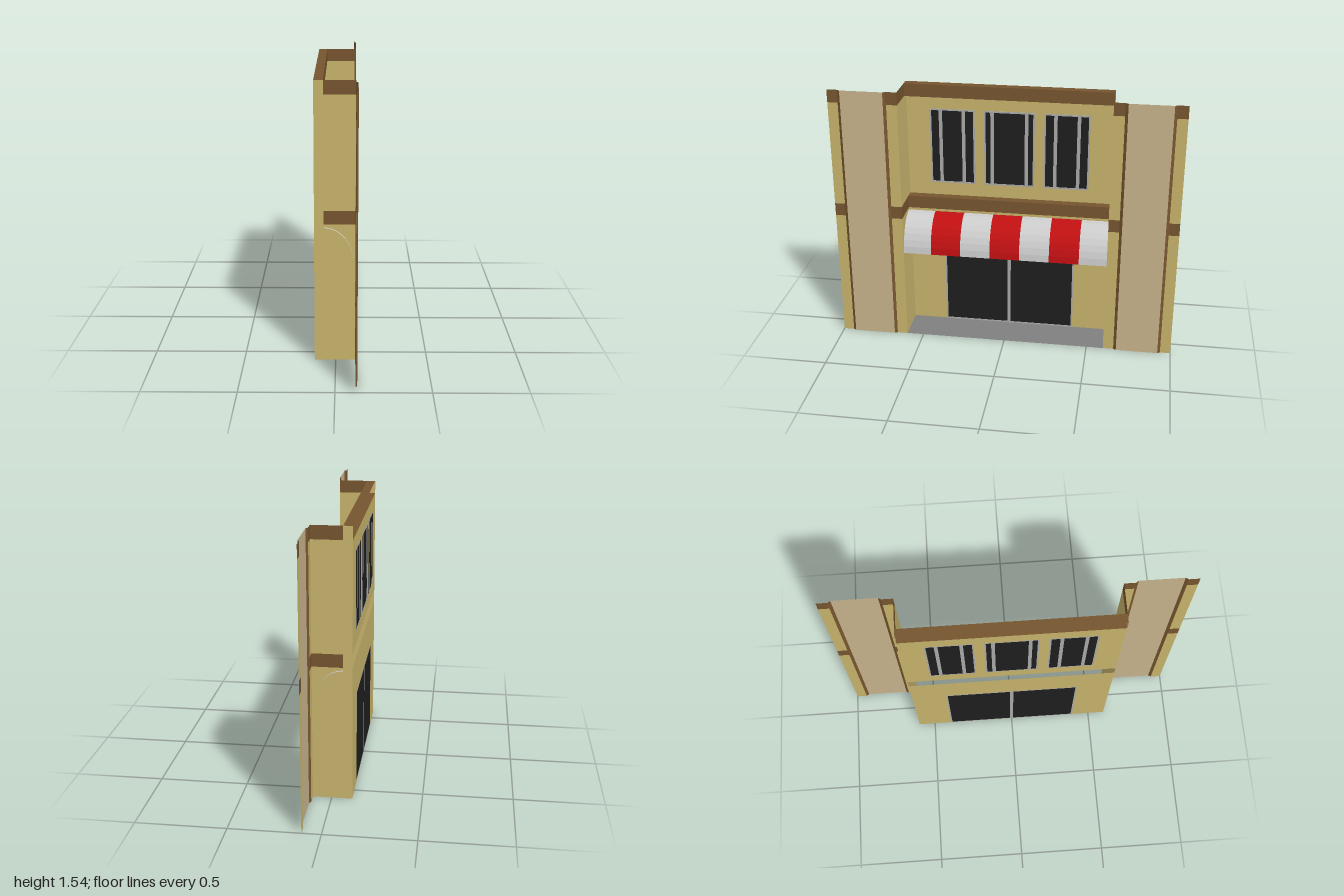
import * as THREE from 'three';

const mat = (color, flatShading = false) =>
  new THREE.MeshStandardMaterial({ color, flatShading, side: THREE.DoubleSide });

const BACK = -0.115, BAND = -0.065, FRONT = 0.105, PANEL = 0.115; // depths along x
const HALF = 0.6, TOP = 1.545;
const BANDS = [[0.775, 0.85], [1.47, TOP]];
const WALLS = [[0, 0.775], [0.85, 1.47]];

export function createModel() {
  const root = new THREE.Group();
  const plaster = mat(0xc8b46c), timber = mat(0x76552f), panel = mat(0xc8b48c);
  const glass = mat(0x1e1e1e), frame = mat(0xaaaaaa), stone = mat(0x808080);
  const white = mat(0xcccccc, true), red = mat(0xc01012, true);

  const add = (name, geo, material, parent = root) => {
    const mesh = new THREE.Mesh(geo, material);
    mesh.name = name;
    parent.add(mesh);
    return mesh;
  };
  // Upright sheet between two plan points (x, z)
  const sheet = (name, [xa, za], [xb, zb], [y0, y1], material) => {
    const g = new THREE.BufferGeometry();
    g.setAttribute('position', new THREE.Float32BufferAttribute(
      [xa, y0, za, xb, y0, zb, xb, y1, zb, xa, y1, za], 3));
    g.setIndex([0, 1, 2, 0, 2, 3]);
    g.computeVertexNormals();
    return add(name, g, material);
  };
  // Level sheet
  const level = (name, x0, x1, y, material) => {
    const g = new THREE.PlaneGeometry(x1 - x0, HALF * 2).rotateX(-Math.PI / 2);
    return add(name, g.translate((x0 + x1) / 2, y, 0), material);
  };

  // Openings: z range, y range, and mullion positions
  const openings = [
    { name: 'door', z: [-0.395, 0.395], y: [0, 0.555], bars: [0] },
    { name: 'leftWindow', z: [0.202, 0.465], y: [0.93, 1.387], bars: [0.268, 0.402] },
    { name: 'middleWindow', z: [-0.147, 0.147], y: [0.93, 1.387], bars: [-0.1, 0.1] },
    { name: 'rightWindow', z: [-0.465, -0.202], y: [0.93, 1.387], bars: [-0.402, -0.268] },
  ];

  // Recessed wall, cut around the openings; shape x maps to -z
  WALLS.forEach(([y0, y1], i) => {
    const s = new THREE.Shape();
    s.moveTo(-HALF, y0);
    s.lineTo(HALF, y0).lineTo(HALF, y1).lineTo(-HALF, y1).closePath();
    for (const { z, y } of openings) {
      if (y[0] < y0 || y[1] > y1) continue;
      const h = new THREE.Path(), b = Math.max(y[0], y0 + 0.002);
      h.moveTo(-z[0], b);
      h.lineTo(-z[0], y[1]).lineTo(-z[1], y[1]).lineTo(-z[1], b).closePath();
      s.holes.push(h);
    }
    const g = new THREE.ShapeGeometry(s).rotateY(Math.PI / 2).translate(BACK, 0, 0);
    add(i ? 'upperWall' : 'lowerWall', g, plaster);
  });

  // Glazing with thin frames
  for (const { name, z, y, bars } of openings) {
    const group = new THREE.Group();
    group.name = name;
    root.add(group);
    const box = (part, z0, z1, y0, y1, material, depth) => add(part,
      new THREE.BoxGeometry(depth, y1 - y0, z1 - z0)
        .translate(BACK + depth / 2, (y0 + y1) / 2, (z0 + z1) / 2), material, group);
    const t = 0.009;
    box('glass', z[0] + t, z[1] - t, y[0] + t, y[1] - t, glass, 0.002);
    box('sideFrame', z[0], z[0] + t, y[0], y[1], frame, 0.004);
    box('sideFrame', z[1] - t, z[1], y[0], y[1], frame, 0.004);
    box('sill', z[0], z[1], y[0], y[0] + t, frame, 0.004);
    box('head', z[0], z[1], y[1] - t, y[1], frame, 0.004);
    for (const b of bars) {
      const m = box('mullion', b - 0.01, b + 0.01, y[0], y[1], frame, 0.005);
      m.position.x = -0.0005;
    }
  }

  // Projecting timber bands across the recess, hollow behind
  BANDS.forEach(([y0, y1], i) => {
    sheet('bandFace', [BAND, HALF], [BAND, -HALF], [y0, y1], timber);
    level('bandTop', BACK, BAND, y1, timber);
    if (i) level('bandUnderside', BACK, BAND, y0, timber);
  });

  level('floor', BACK, FRONT, 0, stone);

  // Return walls and front piers, mirrored
  for (const s of [1, -1]) {
    sheet('returnWallEdge', [BACK, s * HALF], [BAND, s * HALF], [0, TOP], plaster);
    for (const [list, material, kind] of [[WALLS, plaster, 'Wall'], [BANDS, timber, 'Band']]) {
      for (const y of list) {
        sheet('return' + kind, [BAND, s * HALF], [FRONT, s * HALF], y, material);
        sheet('pierInner' + kind, [FRONT, s * HALF], [FRONT, s * 0.662], y, material);
        sheet('pierOuter' + kind, [FRONT, s * 0.94], [FRONT, s], y, material);
      }
    }
    // Raised pilaster panel with timber bevels
    sheet('pilasterBevel', [FRONT, s * 0.662], [PANEL, s * 0.678], [0, TOP], timber);
    sheet('pilasterPanel', [PANEL, s * 0.678], [PANEL, s * 0.924], [0, TOP], panel);
    sheet('pilasterBevel', [PANEL, s * 0.924], [FRONT, s * 0.94], [0, TOP], timber);
  }

  // Striped awning: quarter-round strips
  const awning = new THREE.Group();
  awning.name = 'awning';
  root.add(awning);
  const w = 0.175;
  for (let i = 0; i < 7; i++) {
    const g = new THREE.PlaneGeometry(w, 1, 1, 8), p = g.attributes.position;
    for (let k = 0; k < p.count; k++) {
      const a = (0.5 - p.getY(k)) * Math.PI / 2;
      p.setXYZ(k, BAND + 0.165 * Math.sin(a), 0.55 + 0.21 * Math.cos(a),
        (i - 3) * w - p.getX(k));
    }
    g.computeVertexNormals();
    add('awningStripe', g, i % 2 ? red : white, awning);
  }
  return root;
}
